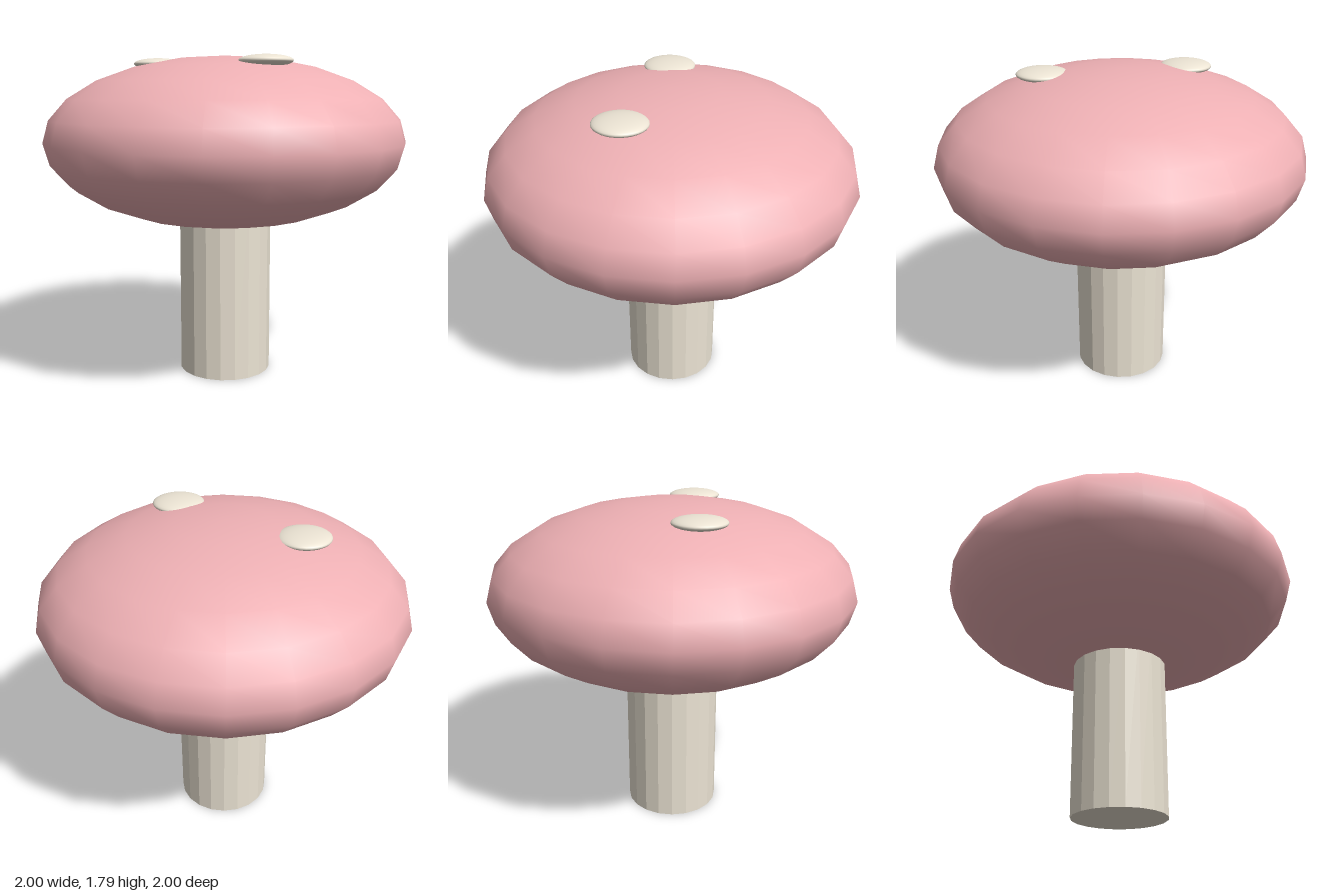
import * as THREE from 'three';

const pink = new THREE.MeshStandardMaterial({ color: 0xeeb0b4 });
const cream = new THREE.MeshStandardMaterial({ color: 0xece4d4 });
const creamFaceted = new THREE.MeshStandardMaterial({ color: 0xece4d4, flatShading: true });

// Sphere squashed to the given radii
function ellipsoid(name, material, [rx, ry, rz], [x, y, z], across, down) {
  const geometry = new THREE.SphereGeometry(1, across, down).scale(rx, ry, rz);
  const mesh = new THREE.Mesh(geometry, material);
  mesh.name = name;
  mesh.position.set(x, y, z);
  return mesh;
}

export function createModel() {
  const mushroom = new THREE.Group();
  mushroom.name = 'mushroom';

  // Faceted stem, running up into the cap
  const stemHeight = 1;
  const stem = new THREE.Mesh(new THREE.CylinderGeometry(0.26, 0.26, stemHeight, 20), creamFaceted);
  stem.name = 'stem';
  stem.position.y = stemHeight / 2;
  mushroom.add(stem);

  // Broad flattened cap
  mushroom.add(ellipsoid('cap', pink, [1, 0.47, 1], [0, 1.32, 0], 20, 12));

  // Pair of flat spots sunk into the top of the cap
  for (const [name, side] of [['leftSpot', 1], ['rightSpot', -1]]) {
    mushroom.add(ellipsoid(name, cream, [0.14, 0.032, 0.142], [side * 0.395, 1.75, 0.132], 32, 16));
  }

  return mushroom;
}
